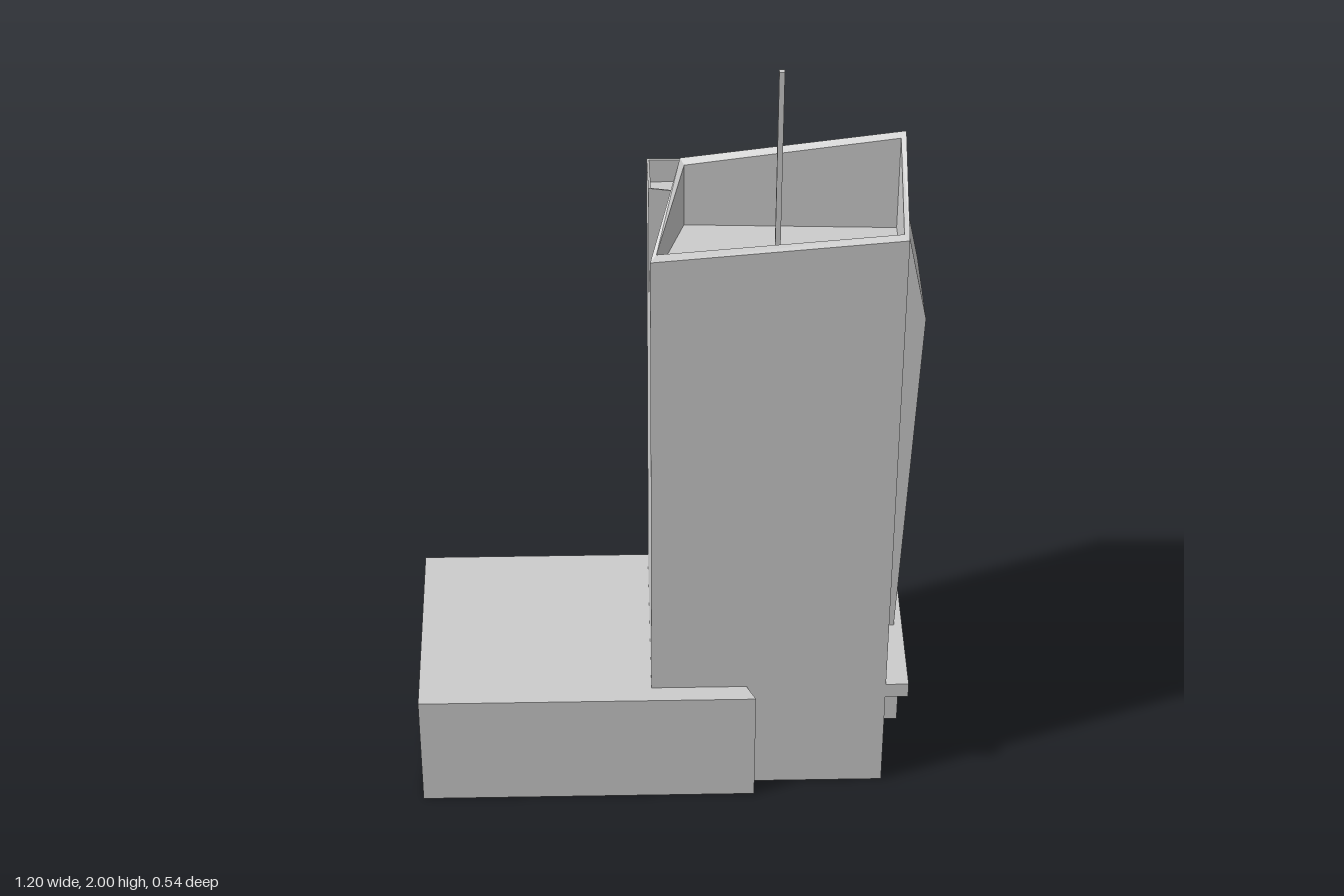
import * as THREE from 'three';

const material = new THREE.MeshStandardMaterial({ color: 0xcccccc, flatShading: true });
const vec = (x, y, z) => [x, y, z];

// Mesh from convex polygons, each listed counter-clockwise from outside
function polygonMesh(name, polygons) {
  const positions = [];
  for (const p of polygons) {
    for (let i = 1; i < p.length - 1; i++) positions.push(...p[0], ...p[i], ...p[i + 1]);
  }
  const geometry = new THREE.BufferGeometry();
  geometry.setAttribute('position', new THREE.Float32BufferAttribute(positions, 3));
  geometry.computeVertexNormals();
  const mesh = new THREE.Mesh(geometry, material);
  mesh.name = name;
  return mesh;
}

// Quads joining successive rings, closed by the last ring
function loft(rings) {
  const polygons = [];
  for (let r = 0; r < rings.length - 1; r++) {
    const a = rings[r], b = rings[r + 1];
    a.forEach((p, i) => {
      const j = (i + 1) % a.length;
      polygons.push([p, a[j], b[j], b[i]]);
    });
  }
  polygons.push(rings[rings.length - 1]);
  return polygons;
}

// Rectangular ring: front-right, front-left, back-left, back-right
function ring(y, x0, x1, z0, z1, firstY = y) {
  return [vec(x0, firstY, z1), vec(x1, y, z1), vec(x1, y, z0), vec(x0, y, z0)];
}

function box(name, x0, x1, y0, y1, z0, z1) {
  const mesh = new THREE.Mesh(new THREE.BoxGeometry(x1 - x0, y1 - y0, z1 - z0), material);
  mesh.position.set((x0 + x1) / 2, (y0 + y1) / 2, (z0 + z1) / 2);
  mesh.name = name;
  return mesh;
}

function frontTower() {
  const base = ring(0, -0.04, 0.525, 0.01, 0.225);
  const [bFR, bFL, bBL, bBR] = base;
  // Sloping crown, with two folded corners at the back
  const crown = [vec(-0.04, 1.57, 0.225), vec(0.525, 1.62, 0.225), vec(0.525, 1.78, 0.034), vec(0.03, 1.7, 0.01)];
  const [FR, FL, BL, BR] = crown;
  const foldRight = vec(-0.04, 1.33, 0.01);
  const foldLeft = vec(0.525, 1.54, 0.01);
  // Thin parapet and sunken roof
  const inner = [vec(-0.026, 1.583, 0.213), vec(0.513, 1.629, 0.213), vec(0.513, 1.768, 0.045), vec(0.039, 1.69, 0.024)];
  const floor = inner.map(([x, , z]) => vec(x, 1.53, z));
  return polygonMesh('frontTower', [
    [bFR, bFL, FL, FR],
    [bFL, bBL, foldLeft, BL, FL],
    [bBL, bBR, foldRight, BR, foldLeft],
    [foldLeft, BR, BL],
    [bBR, bFR, FR, foldRight],
    [foldRight, FR, BR],
    [...base].reverse(),
    ...loft([crown, inner, floor]),
  ]);
}

function backTower() {
  // Height and left edge of the bent side wall
  const profile = [[0, 0.58], [0.315, 0.58], [0.315, 0.56], [1.25, 0.595]];
  const rings = profile.map(([y, x]) => ring(y, -0.04, x, -0.228, 0.01));
  rings.push(ring(1.54, -0.04, 0.535, -0.228, 0.01, 1.62));
  rings.push(ring(1.54, -0.034, 0.515, -0.222, 0.004, 1.617));
  rings.push(ring(1.48, -0.034, 0.515, -0.222, 0.004));
  return polygonMesh('backTower', [[...rings[0]].reverse(), ...loft(rings)]);
}

function podium() {
  // Plan with small angled fins where it meets the towers
  const plan = [[-0.6, -0.27], [0.21, -0.27], [0.19, -0.228], [0.19, 0.228], [0.21, 0.27], [-0.6, 0.27]];
  const shape = new THREE.Shape(plan.map(([x, y]) => new THREE.Vector2(x, y)));
  const geometry = new THREE.ExtrudeGeometry(shape, { depth: 0.315, bevelEnabled: false });
  geometry.rotateX(-Math.PI / 2);
  const mesh = new THREE.Mesh(geometry, material);
  mesh.name = 'podium';
  return mesh;
}

export function createModel() {
  const model = new THREE.Group();
  model.name = 'skyscraper';
  model.add(podium(), frontTower(), backTower());

  // Entrance canopy beside the front tower
  model.add(box('canopy', 0.52, 0.58, 0.275, 0.315, 0.005, 0.225));

  // Roof plant boxes: x range and z range
  const plant = [[-0.01, 0.075, -0.085, -0.01], [0.085, 0.265, -0.135, -0.06], [0.28, 0.46, -0.135, -0.06]];
  plant.forEach(([x0, x1, z0, z1], i) => model.add(box(`roofPlant${i + 1}`, x0, x1, 1.475, 1.53, z0, z1)));

  // Mast
  model.add(box('mast', 0.237, 0.249, 1.525, 2, 0.127, 0.139));
  return model;
}
